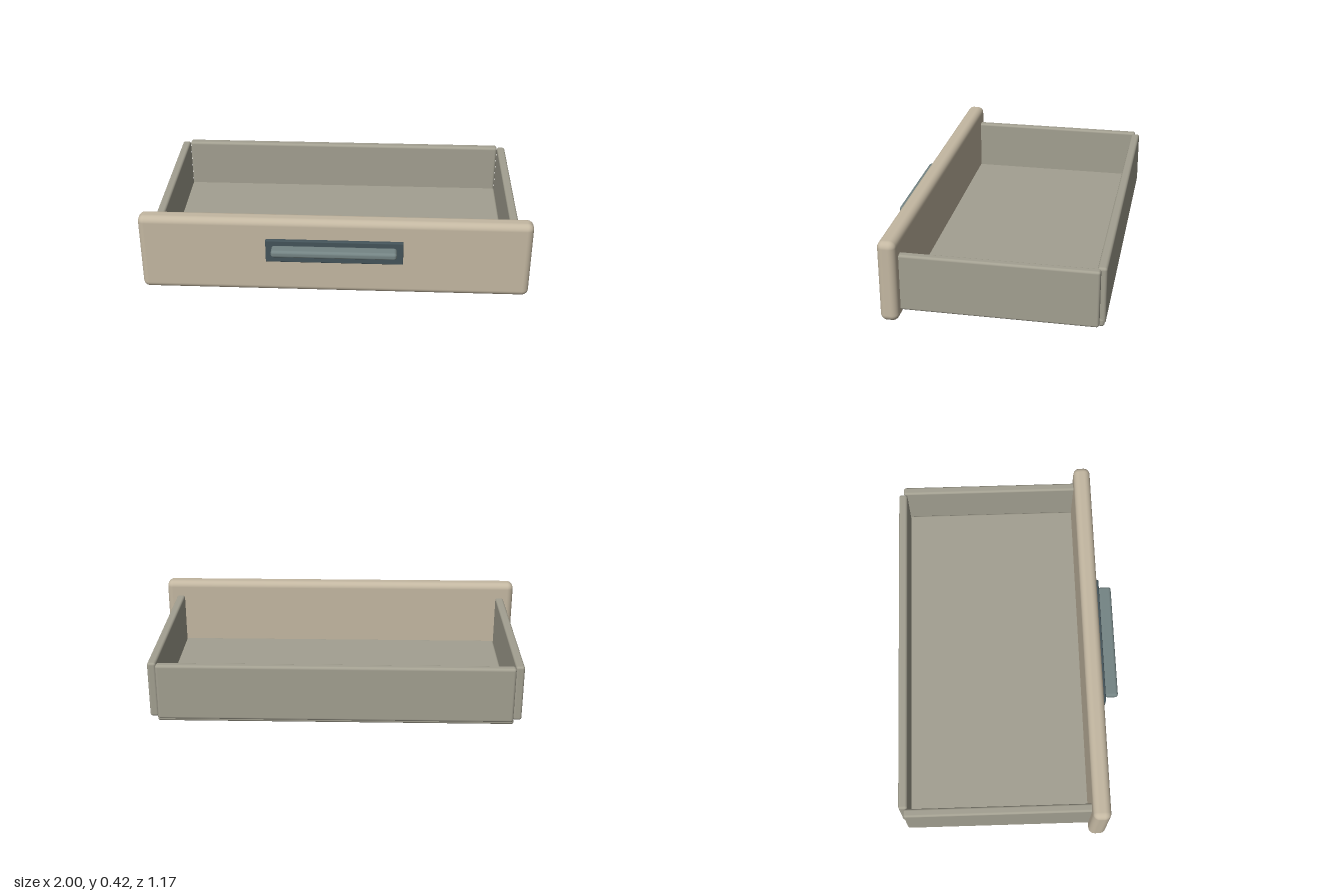
import * as THREE from 'three';
import { RoundedBoxGeometry } from 'three/addons/geometries/RoundedBoxGeometry.js';

const material = (color) => new THREE.MeshStandardMaterial({ color });

// Rounded board given by its [min, max] extent on each axis
function board(name, [x0, x1], [y0, y1], [z0, z1], radius, mat) {
  const geometry = new RoundedBoxGeometry(x1 - x0, y1 - y0, z1 - z0, 4, radius);
  const mesh = new THREE.Mesh(geometry, mat);
  mesh.name = name;
  mesh.position.set((x0 + x1) / 2, (y0 + y1) / 2, (z0 + z1) / 2);
  return mesh;
}

export function createModel() {
  const group = new THREE.Group();
  group.name = 'drawer';
  const frontMat = material(0xc4b8a2);
  const boxMat = material(0xa3a091);
  const plateMat = material(0x44545a);
  const gripMat = material(0x748484);

  // Front panel
  group.add(board('frontPanel', [-1, 1], [0.003, 0.425], [0.405, 0.497], 0.034, frontMat));

  // Open box: floor, back and two sides
  group.add(board('floor', [-0.902, 0.902], [0.03, 0.073], [-0.578, 0.415], 0.012, boxMat));
  group.add(board('backWall', [-0.9, 0.9], [0.043, 0.34], [-0.584, -0.537], 0.014, boxMat));
  for (const [name, x] of [['leftWall', 0.922], ['rightWall', -0.922]]) {
    group.add(board(name, [x - 0.022, x + 0.022], [0.045, 0.34], [-0.557, 0.42], 0.012, boxMat));
  }

  // Handle: backing plate and grip bar
  const handle = new THREE.Group();
  handle.name = 'handle';
  handle.add(board('handlePlate', [-0.35, 0.35], [0.193, 0.319], [0.49, 0.516], 0.005, plateMat));
  handle.add(board('handleGrip', [-0.317, 0.317], [0.258, 0.297], [0.516, 0.584], 0.015, gripMat));
  group.add(handle);

  return group;
}
